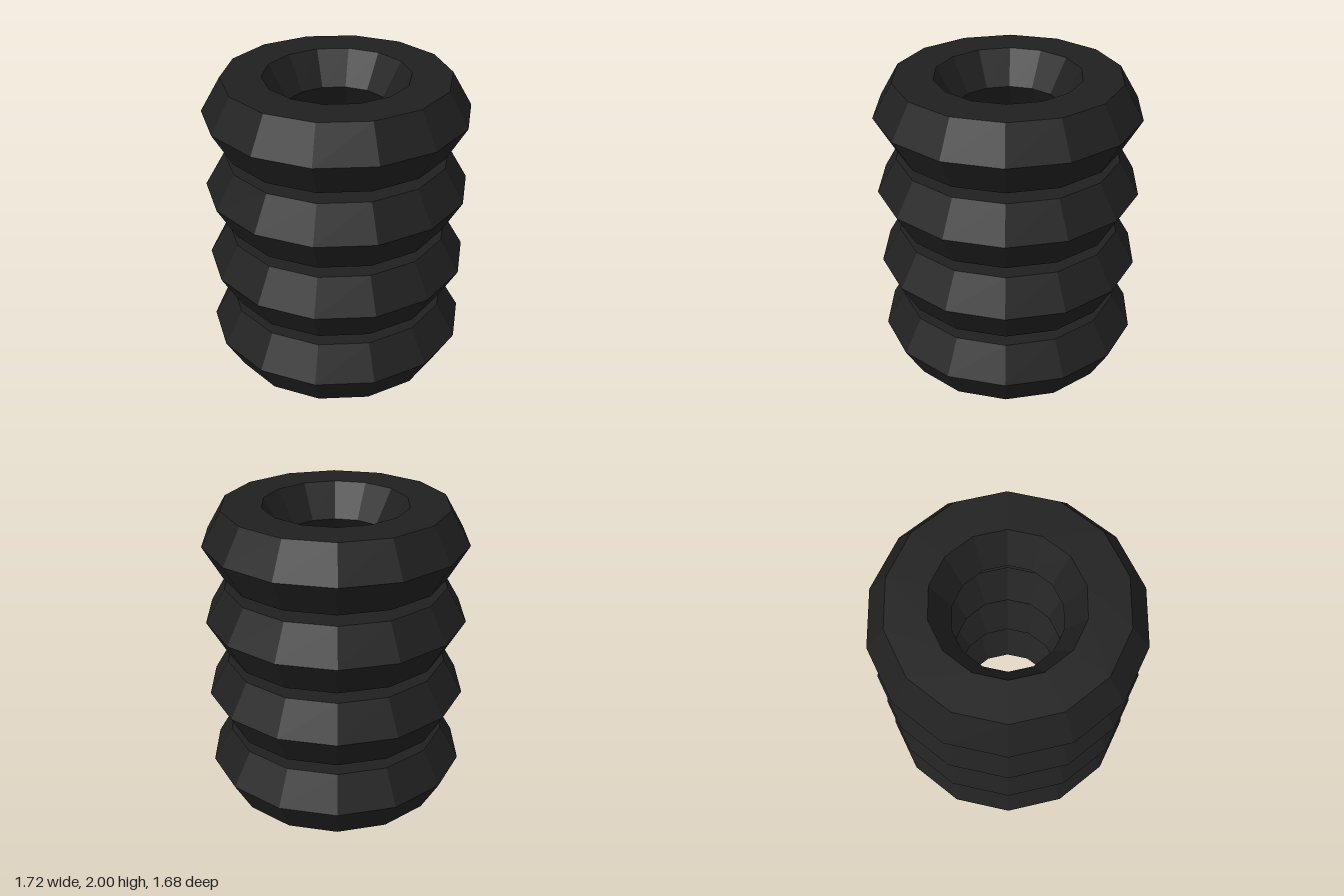
import * as THREE from 'three';

export function createModel() {
  const group = new THREE.Group();
  group.name = 'tyreStack';

  const rubber = new THREE.MeshStandardMaterial({ color: 0x202020 });
  rubber.name = 'black rubber';
  rubber.flatShading = true;

  // One tyre: a 14-sided ring with a hexagonal section, lying flat
  const ringRadius = 0.602, tubeRadius = 0.258, count = 4;
  const tyreGeometry = new THREE.TorusGeometry(ringRadius, tubeRadius, 6, 14);
  tyreGeometry.rotateX(-Math.PI / 2);

  // Evenly spaced stack, with a narrow gap between tyres
  const halfHeight = tubeRadius * Math.sin(Math.PI / 3);
  const pitch = (2 - 2 * halfHeight) / (count - 1);
  for (let i = 0; i < count; i++) {
    const tyre = new THREE.Mesh(tyreGeometry, rubber);
    tyre.name = `tyre${i + 1}`;
    tyre.position.y = halfHeight + i * pitch;
    group.add(tyre);
  }
  return group;
}
